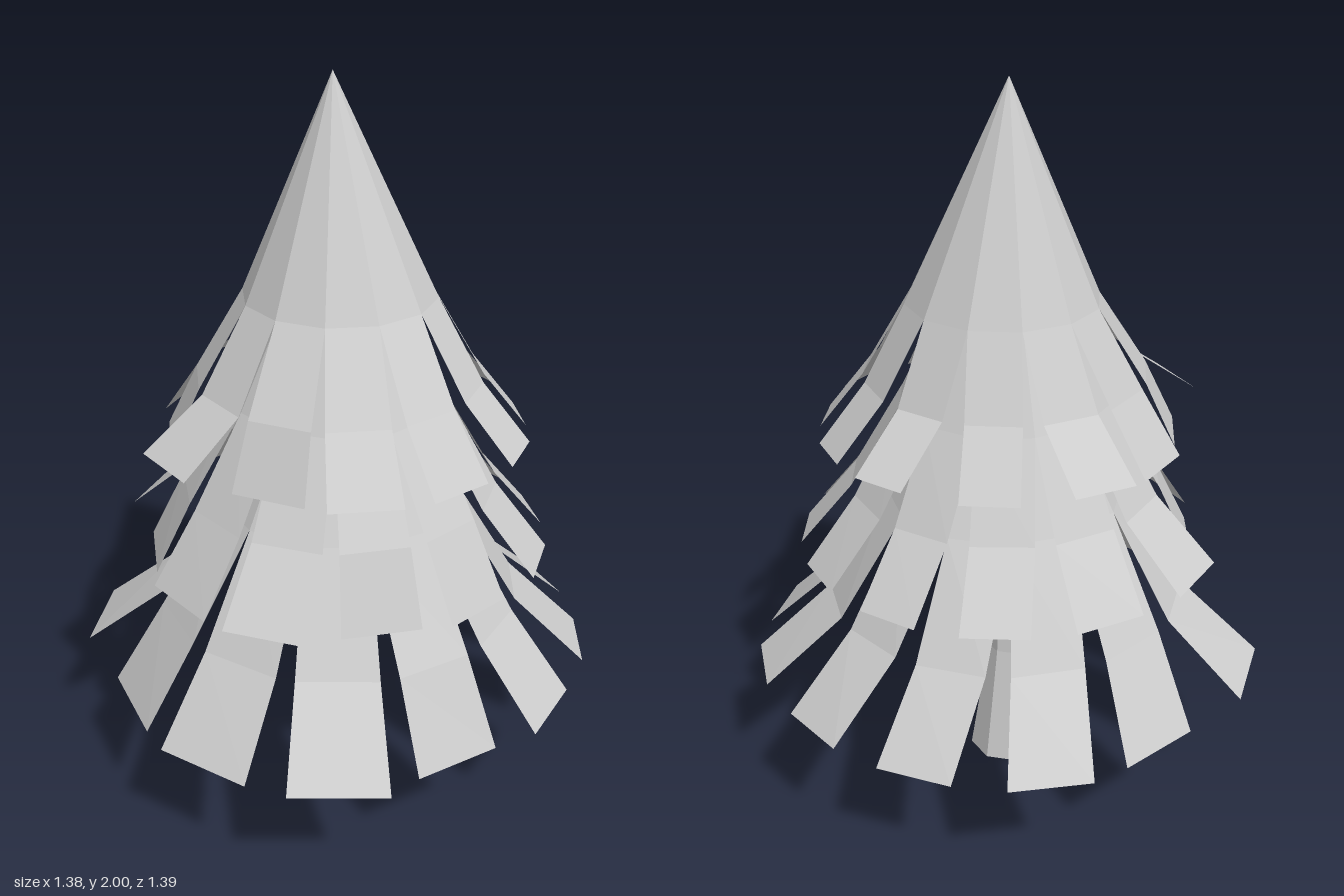
import * as THREE from 'three';

const material = new THREE.MeshStandardMaterial({ color: 0xcccccc, flatShading: true, side: THREE.DoubleSide });
const SIDES = 12;
const STEP = 2 * Math.PI / SIDES;

// Each tier: a cone ending in a ring, with one hanging bough per side.
// reach lists how far each bough end stands out; start and swing are in degrees.
const tiers = [
  {
    name: 'topTier', apex: [-0.04, 2, -0.015], centre: [-0.02, -0.02], ringY: 1.43, ringR: 0.26, endY: 1.05, endR: 0.48,
    start: 7, swing: 0, width: 0.17, frontExtra: 0.03,
    reach: [0.5, 0.52, 0.45, 0.55, 0.46, 0.49, 0.56, 0.5, 0.55, 0.51, 0.5, 0.51],
  },
  {
    name: 'middleTier', apex: [-0.02, 1.75, -0.01], centre: [-0.01, -0.01], ringY: 1.15, ringR: 0.29, endY: 0.71, endR: 0.54,
    start: 2, swing: 2, width: 0.195, frontExtra: 0.03,
    reach: [0.53, 0.5, 0.59, 0.55, 0.52, 0.6, 0.58, 0.59, 0.57, 0.57, 0.57, 0.57],
  },
  {
    name: 'bottomTier', apex: [0, 1.5, 0], centre: [0, 0], ringY: 0.86, ringR: 0.33, endY: 0.33, endR: 0.64,
    start: 15, swing: 5, width: 0.235, frontExtra: 0.035,
    reach: [0.61, 0.73, 0.67, 0.64, 0.72, 0.64, 0.72, 0.68, 0.69, 0.71, 0.7, 0.67],
  },
];

function meshFrom(points, name) {
  const geometry = new THREE.BufferGeometry().setFromPoints(points);
  geometry.computeVertexNormals();
  const mesh = new THREE.Mesh(geometry, material);
  mesh.name = name;
  return mesh;
}

// Pair of points across a bough at a given angle, radius, width and height
function edge(angle, radius, width, y, [cx, cz] = [0, 0]) {
  const c = Math.cos(angle), s = Math.sin(angle);
  return [-1, 1].map((side) => new THREE.Vector3(
    cx + c * radius - s * side * width / 2, y, cz + s * radius + c * side * width / 2));
}

function makeTier(tier) {
  const group = new THREE.Group();
  group.name = tier.name;
  const tip = new THREE.Vector3(...tier.apex);
  const inner = tier.ringR * Math.cos(STEP / 2);
  const ringWidth = 2 * tier.ringR * Math.sin(STEP / 2);
  const { lerp, degToRad } = THREE.MathUtils;
  const conePoints = [];

  tier.reach.forEach((radius, i) => {
    const ringAngle = degToRad(tier.start) + i * STEP;
    // Boughs swing sideways most on the left-hand half of the ring and are widest in front
    const endAngle = ringAngle + degToRad(tier.swing * (0.7 - Math.cos(i * STEP)));
    const width = tier.width + tier.frontExtra * Math.sin(endAngle);
    // Boughs that reach further out end a little higher
    const y = tier.endY + 0.7 * Math.max(0, radius - tier.endR);
    // Each bough follows the tier's slope, then bends to its own end
    const rows = [
      edge(ringAngle, inner, ringWidth, tier.ringY, tier.centre),
      edge(lerp(ringAngle, endAngle, 0.55), lerp(inner, tier.endR, 0.55),
        lerp(ringWidth, width, 0.55), lerp(tier.ringY, tier.endY, 0.55)),
      edge(endAngle, radius, width, y),
    ];
    conePoints.push(tip, rows[0][1], rows[0][0]);
    const points = [];
    for (let k = 0; k < 2; k++) {
      const [a, b] = rows[k], [c, d] = rows[k + 1];
      points.push(a, b, c, b, d, c);
    }
    group.add(meshFrom(points, 'bough'));
  });

  group.add(meshFrom(conePoints, 'cone'));
  return group;
}

export function createModel() {
  const tree = new THREE.Group();
  tree.name = 'tree';

  // Trunk flaring out at the foot
  const profile = [[0, 0], [0.115, 0], [0.06, 0.35], [0.045, 0.7], [0.04, 1.1]].map((p) => new THREE.Vector2(...p));
  const trunk = new THREE.Mesh(new THREE.LatheGeometry(profile, 8, Math.PI / 8), material);
  trunk.name = 'trunk';
  trunk.position.x = -0.02;
  tree.add(trunk);

  tiers.forEach((tier) => tree.add(makeTier(tier)));
  return tree;
}
